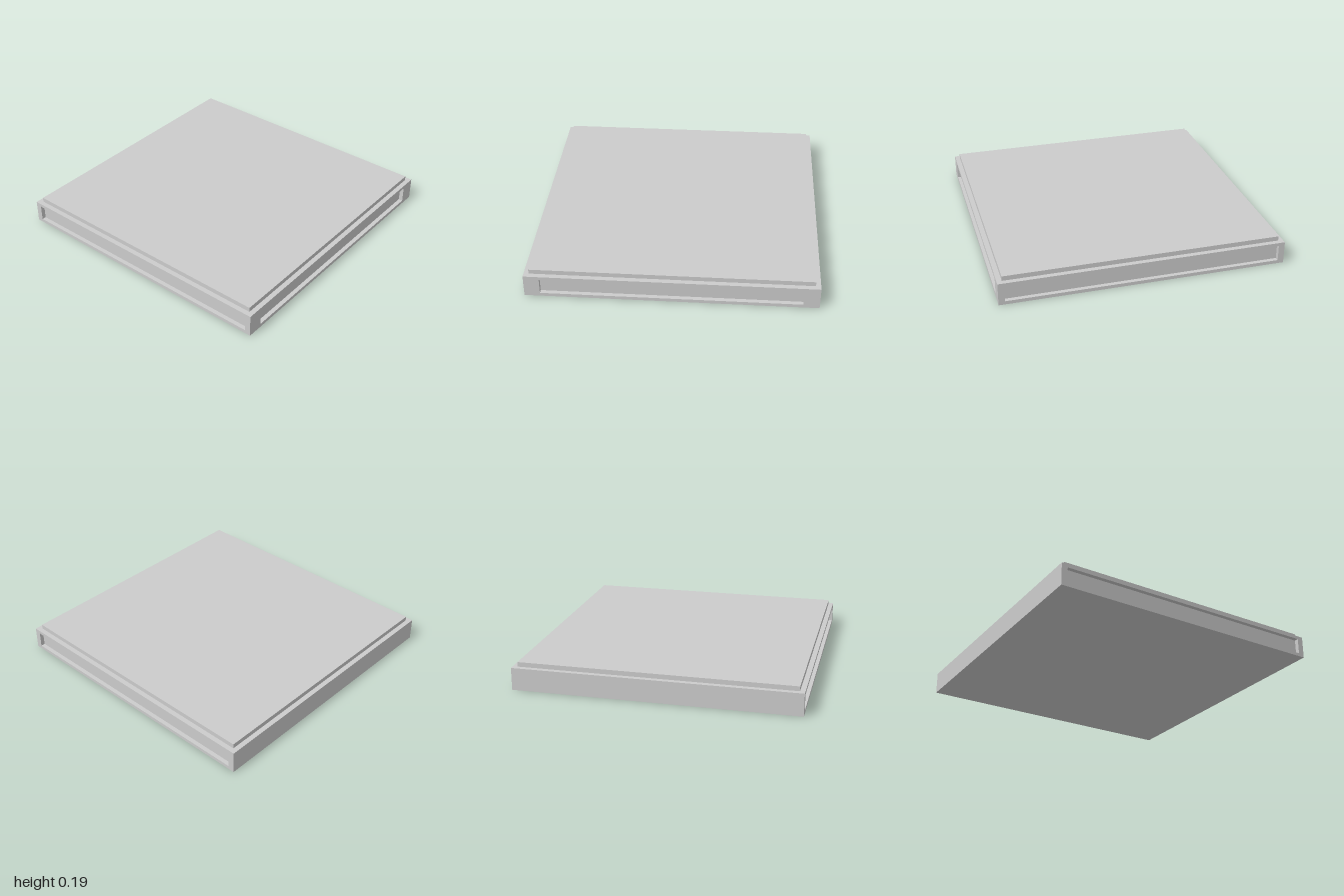
import * as THREE from 'three';

const H = 0.16;        // body height
const DEPTH = 0.03;    // depth of the recessed panels
const LID = 0.965;     // half width of the lid
const LID_TOP = 0.193;

const material = new THREE.MeshStandardMaterial({ color: 0xcccccc });

function box(name, x0, x1, y0, y1, z0, z1) {
  const geometry = new THREE.BoxGeometry(x1 - x0, y1 - y0, z1 - z0);
  geometry.translate((x0 + x1) / 2, (y0 + y1) / 2, (z0 + z1) / 2);
  const mesh = new THREE.Mesh(geometry, material);
  mesh.name = name;
  return mesh;
}

// Rectangular frame facing +z, its outer face at z = 1
function frame(name, halfWidth, halfOpening) {
  const rectangle = (w, y0, y1) => [[-w, y0], [w, y0], [w, y1], [-w, y1]].map(p => new THREE.Vector2(...p));
  const shape = new THREE.Shape(rectangle(halfWidth, 0, H));
  shape.holes.push(new THREE.Path(rectangle(halfOpening, 0.024, 0.137)));
  const geometry = new THREE.ExtrudeGeometry(shape, { depth: DEPTH, bevelEnabled: false });
  geometry.translate(0, 0, 1 - DEPTH);
  const mesh = new THREE.Mesh(geometry, material);
  mesh.name = name;
  return mesh;
}

export function createModel() {
  const model = new THREE.Group();
  model.name = 'squarePlatform';
  const inner = 1 - DEPTH;

  // Solid core, whose faces form the floors of the recesses; the back stays plain
  model.add(box('core', -inner, inner, 0, H, -1, inner));

  // Recess frames on the front and both sides
  model.add(frame('frontFrame', inner, 0.892));
  for (const side of [1, -1]) {
    const sideFrame = frame(side > 0 ? 'leftFrame' : 'rightFrame', 1, 0.957);
    sideFrame.rotation.y = side * Math.PI / 2;
    model.add(sideFrame);
  }

  // Raised lid
  model.add(box('lid', -LID, LID, H, LID_TOP, -LID, LID));
  return model;
}
